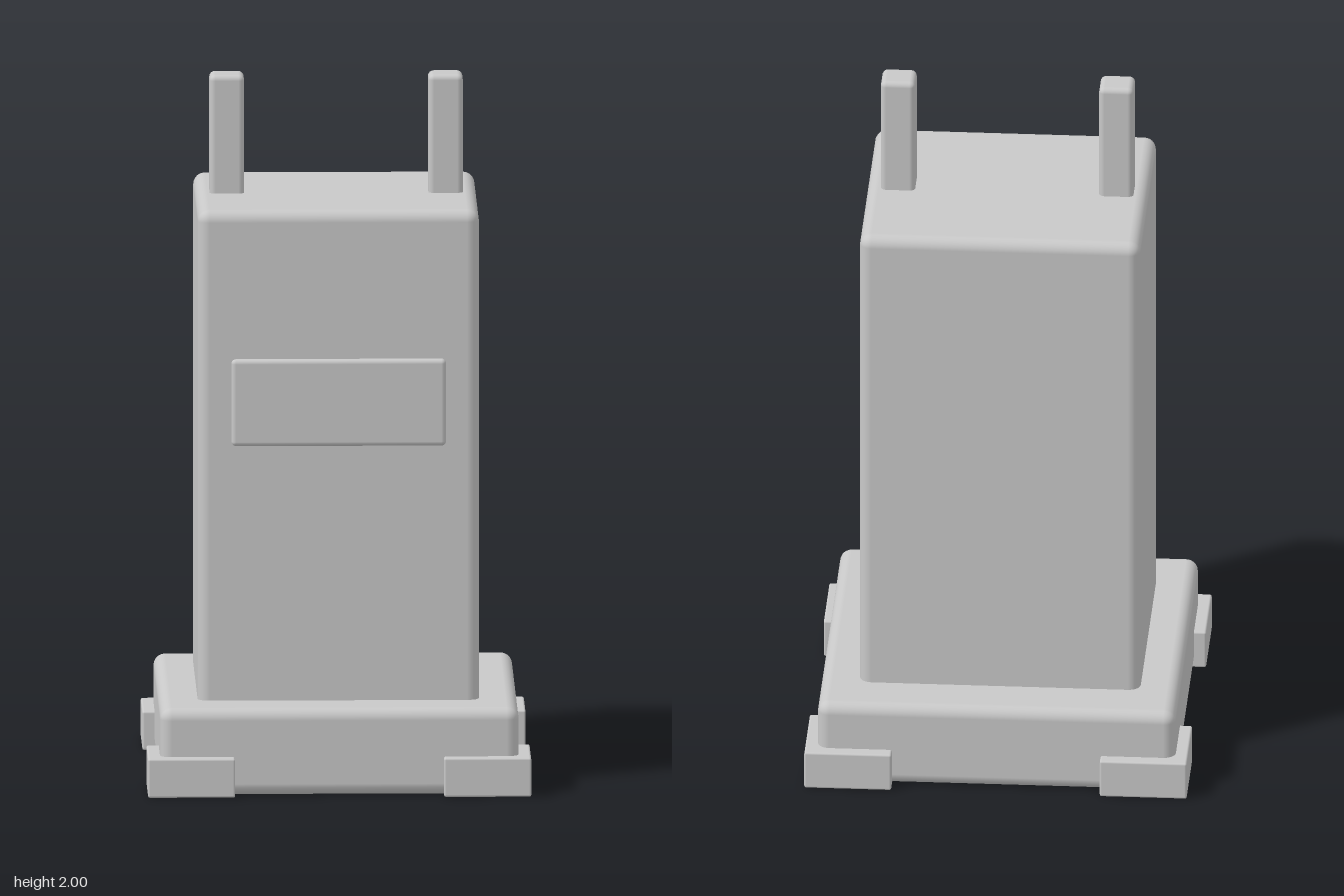
import * as THREE from 'three';
import { RoundedBoxGeometry } from 'three/addons/geometries/RoundedBoxGeometry.js';

export function createModel() {
  const model = new THREE.Group();
  model.name = 'model';
  const grey = new THREE.MeshStandardMaterial({ color: 0xc8c8c8 });
  grey.name = 'light grey';

  // Rounded block standing on height y0
  const block = (name, w, y0, y1, d, radius, x = 0, z = 0) => {
    const mesh = new THREE.Mesh(new RoundedBoxGeometry(w, y1 - y0, d, 3, radius), grey);
    mesh.name = name;
    mesh.position.set(x, (y0 + y1) / 2, z);
    model.add(mesh);
  };

  // Plinth and main housing
  block('base', 1.02, 0, 0.25, 1.02, 0.034);
  block('body', 0.8, 0.2, 1.66, 0.72, 0.034);

  // Corner feet wrapping the plinth
  for (const sx of [1, -1]) {
    for (const sz of [1, -1]) {
      const name = (sz > 0 ? 'front' : 'back') + (sx > 0 ? 'Left' : 'Right') + 'Foot';
      block(name, 0.248, 0, 0.112, 0.248, 0.006, sx * 0.421, sz * 0.421);
    }
  }

  // Upright posts on the top
  for (const sx of [1, -1]) {
    block(sx > 0 ? 'leftPost' : 'rightPost', 0.098, 1.6, 2, 0.098, 0.016, sx * 0.311);
  }

  // Front plate held just clear of the body
  block('frontPlate', 0.61, 0.99, 1.24, 0.03, 0.013, 0, 0.4);

  return model;
}
